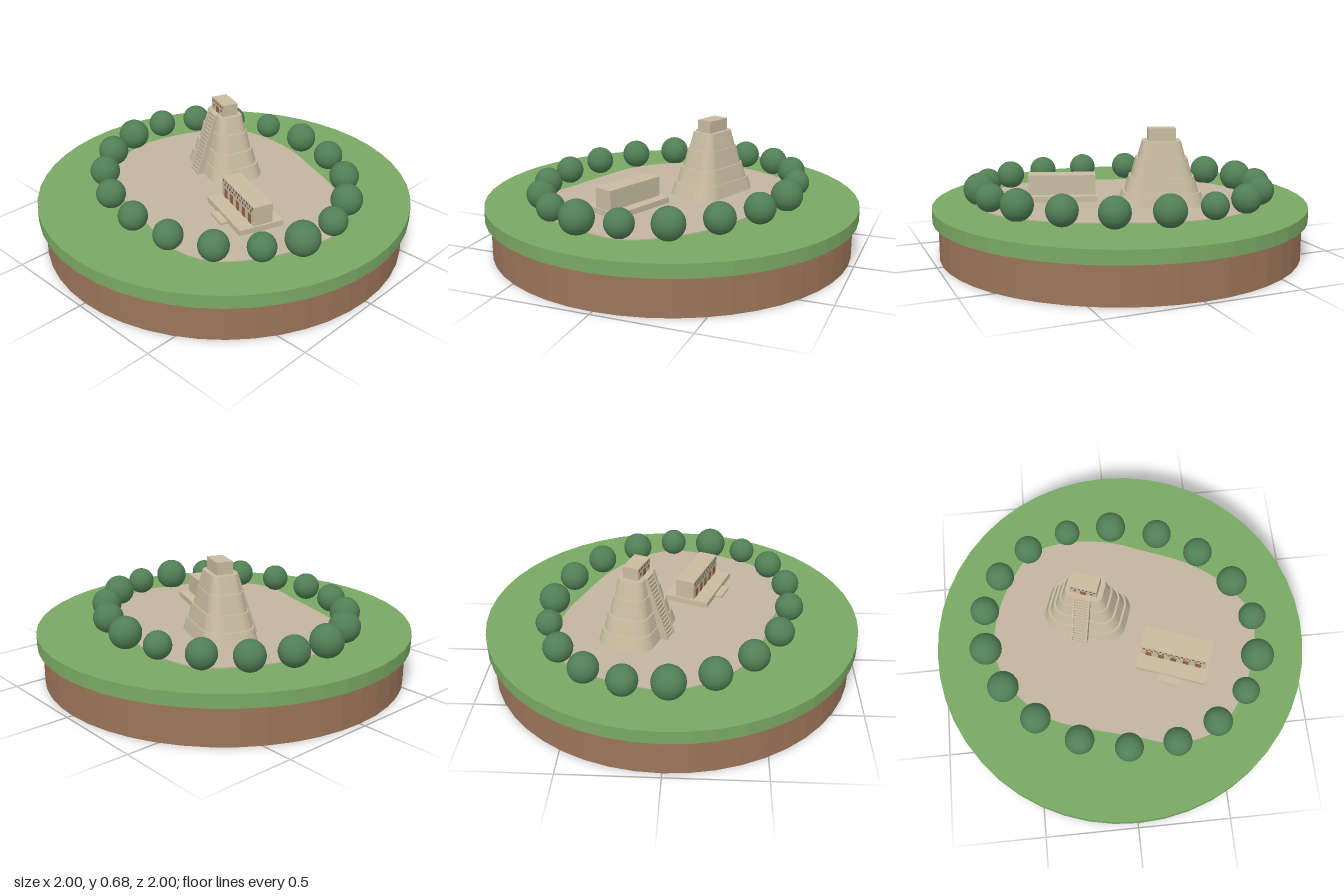
import * as THREE from 'three';
import { toCreasedNormals } from 'three/addons/utils/BufferGeometryUtils.js';

const mat = (name, color) => new THREE.MeshStandardMaterial({ name, color });
const TURN = -0.35;   // both buildings face the same way
const GROUND = 0.27;

export function createModel() {
  const soil = mat('soil', 0x9c755a), grass = mat('grass', 0x7aa863), leaf = mat('foliage', 0x517f55);
  const paving = mat('paving', 0xc2b5a0), stone = mat('stone', 0xc8bba0);
  const doorway = mat('doorway', 0x9a6444), recess = mat('recess', 0x6a5a48);

  const model = new THREE.Group();
  model.name = 'templeIsland';

  const add = (parent, name, geo, material, x = 0, y = 0, z = 0) => {
    const m = new THREE.Mesh(geo, material);
    m.name = name;
    m.position.set(x, y, z);
    parent.add(m);
    return m;
  };
  // box standing on y
  const box = (parent, name, w, h, d, material, x, y, z) =>
    add(parent, name, new THREE.BoxGeometry(w, h, d), material, x, y + h / 2, z);
  const site = (name, x, z) => {
    const g = new THREE.Group();
    g.name = name;
    g.position.set(x, GROUND, z);
    g.rotation.y = TURN;
    model.add(g);
    return g;
  };

  // Faceted round base
  const disc = (r, h) => {
    const g = new THREE.CylinderGeometry(r, r, h, 48).toNonIndexed();
    g.computeVertexNormals();
    return g;
  };
  add(model, 'soilBase', disc(0.97, 0.2), soil, 0, 0.1);
  add(model, 'grassLayer', disc(1, 0.07), grass, 0, 0.235);

  // Irregular paved clearing
  const outline = [
    [-0.26, -0.6], [-0.02, -0.58], [0.2, -0.5], [0.43, -0.4], [0.62, -0.25], [0.74, -0.05], [0.7, 0.2],
    [0.6, 0.42], [0.46, 0.57], [0.24, 0.62], [0.02, 0.56], [-0.2, 0.5], [-0.42, 0.42], [-0.6, 0.25],
    [-0.69, 0.03], [-0.66, -0.2], [-0.57, -0.4], [-0.45, -0.55],
  ].map(([x, z]) => new THREE.Vector3(x, z, 0));
  const curve = new THREE.CatmullRomCurve3(outline, true);
  const clearing = new THREE.Shape(curve.getPoints(72).slice(0, -1).map(p => new THREE.Vector2(p.x, p.y)));
  const clearingGeo = new THREE.ExtrudeGeometry(clearing, { depth: 0.006, bevelEnabled: false });
  clearingGeo.rotateX(Math.PI / 2);
  add(model, 'pavedClearing', clearingGeo, paving, 0, GROUND + 0.005);

  // Ring of round trees: x, z, radius
  const trees = [
    [0.01, -0.64, 0.083], [0.265, -0.57, 0.08], [0.48, -0.435, 0.08], [0.645, -0.24, 0.083],
    [0.725, -0.025, 0.074], [0.72, 0.2, 0.088], [0.63, 0.39, 0.072], [0.46, 0.54, 0.077],
    [0.238, 0.625, 0.075], [-0.015, 0.63, 0.075], [-0.267, 0.565, 0.077], [-0.487, 0.428, 0.08],
    [-0.647, 0.24, 0.083], [-0.728, 0.02, 0.086], [-0.723, -0.2, 0.078], [-0.63, -0.396, 0.078],
    [-0.463, -0.545, 0.077], [-0.238, -0.628, 0.07],
  ];
  for (const [x, z, r] of trees)
    add(model, 'tree', new THREE.SphereGeometry(r, 24, 16), leaf, x, 0.345, z);

  // Tapered tier with a rounded plan
  const tierGeo = (hx, hz, r, h, taper) => {
    const s = new THREE.Shape(), q = Math.PI / 2;
    s.absarc(hx - r, hz - r, r, 0, q);
    s.absarc(r - hx, hz - r, r, q, 2 * q);
    s.absarc(r - hx, r - hz, r, 2 * q, 3 * q);
    s.absarc(hx - r, r - hz, r, 3 * q, 4 * q);
    const g = new THREE.ExtrudeGeometry(s, { depth: h, bevelEnabled: false, curveSegments: 8 });
    g.rotateX(-Math.PI / 2);
    const p = g.attributes.position;
    for (let i = 0; i < p.count; i++)
      if (p.getY(i) > h / 2) p.setXYZ(i, p.getX(i) * (1 - taper / hx), h, p.getZ(i) * (1 - taper * 0.7 / hz));
    return toCreasedNormals(g, 0.6);
  };

  // Pyramid
  const pyramid = site('pyramid', -0.163, -0.172);
  const tiers = [ // half width, half depth, corner radius, bottom, top
    [0.228, 0.152, 0.1, 0, 0.075], [0.193, 0.13, 0.085, 0.075, 0.155],
    [0.158, 0.106, 0.066, 0.155, 0.25], [0.123, 0.084, 0.045, 0.25, 0.34],
  ];
  for (const [hx, hz, r, y0, y1] of tiers)
    add(pyramid, 'pyramidTier', tierGeo(hx, hz, r, y1 - y0, 0.024), stone, 0, y0);

  // Staircase: a side profile (z, y) extruded across its width
  const across = (points, width) => {
    const g = new THREE.ExtrudeGeometry(new THREE.Shape(points.map(p => new THREE.Vector2(...p))),
      { depth: width, bevelEnabled: false });
    g.translate(0, 0, -width / 2);
    return g.rotateY(-Math.PI / 2);
  };
  const steps = 17, zFoot = 0.184, zHead = 0.07, rise = 0.34 / steps, run = (zFoot - zHead) / steps;
  const profile = [[0.03, 0], [zFoot, 0]];
  for (let i = 0; i < steps; i++) {
    profile.push([zFoot - i * run, (i + 1) * rise]);
    profile.push([zFoot - (i + 1) * run, (i + 1) * rise]);
  }
  profile.push([0.03, 0.34]);
  add(pyramid, 'stairs', across(profile, 0.07), stone);
  for (const side of [-1, 1])
    add(pyramid, 'stairRail',
      across([[0.03, 0], [zFoot + 0.01, 0], [zHead + 0.008, 0.342], [0.03, 0.342]], 0.01), stone, side * 0.04);

  // Rows of small square recesses on a front wall
  const frieze = (parent, width, count, y, z, size) => {
    for (let i = 0; i < count; i++)
      box(parent, 'friezeRecess', size, size, 0.003, recess, (i / (count - 1) - 0.5) * width, y, z);
  };

  // Shrine on top of the pyramid
  box(pyramid, 'shrine', 0.144, 0.065, 0.086, stone, 0, 0.34, 0);
  box(pyramid, 'shrineDoor', 0.03, 0.034, 0.004, doorway, 0, 0.34, 0.043);
  frieze(pyramid, 0.12, 7, 0.386, 0.043, 0.009);
  for (const side of [-1, 1])
    box(pyramid, 'shrineWindow', 0.012, 0.012, 0.004, recess, side * 0.045, 0.36, 0.043);

  // Long hall on a terrace
  const hall = site('hall', 0.283, 0.139);
  box(hall, 'terrace', 0.38, 0.035, 0.245, stone, 0, 0, 0);
  box(hall, 'terraceStep', 0.115, 0.018, 0.04, stone, 0, 0, 0.142);
  const front = 0.04;
  box(hall, 'hallWalls', 0.36, 0.105, 0.105, stone, 0, 0.035, front - 0.0525);
  for (let i = -2; i <= 2; i++)
    box(hall, 'hallDoor', 0.032, 0.05, 0.004, doorway, i * 0.068, 0.035, front);
  frieze(hall, 0.325, 12, 0.12, front, 0.011);
  frieze(hall, 0.295, 11, 0.1, front, 0.011);

  return model;
}
